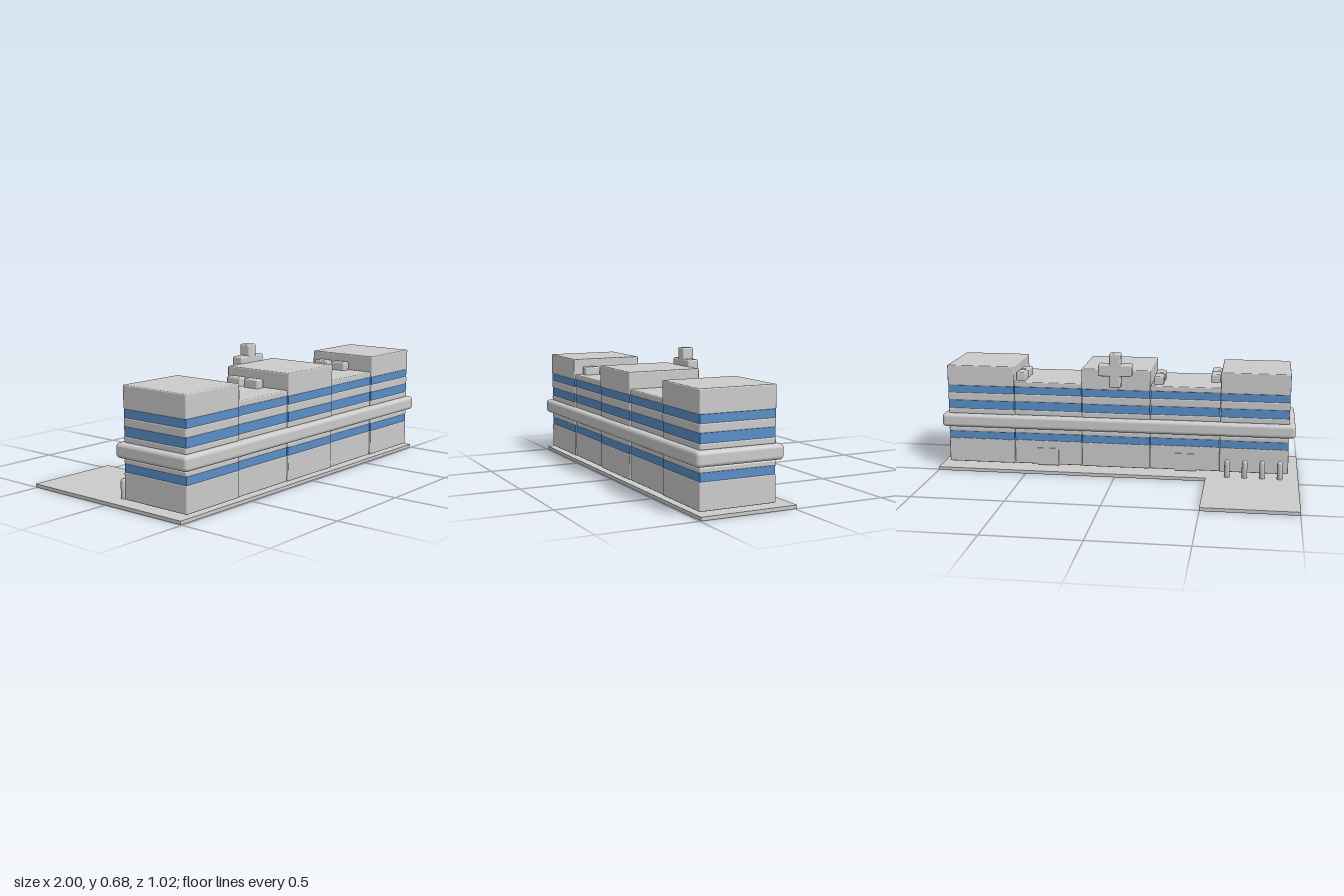
import * as THREE from 'three';
import { RoundedBoxGeometry } from 'three/addons/geometries/RoundedBoxGeometry.js';

const grey = new THREE.MeshStandardMaterial({ color: 0xcccccc });
const blue = new THREE.MeshStandardMaterial({ color: 0x5a8fc8 });

// Box given by its limits on each axis; a radius rounds its edges
function block(parent, name, [x0, x1], [y0, y1], [z0, z1], radius = 0, material = grey) {
  const size = [x1 - x0, y1 - y0, z1 - z0];
  const geometry = radius
    ? new RoundedBoxGeometry(...size, 3, radius)
    : new THREE.BoxGeometry(...size);
  const mesh = new THREE.Mesh(geometry, material);
  mesh.name = name;
  mesh.position.set((x0 + x1) / 2, (y0 + y1) / 2, (z0 + z1) / 2);
  parent.add(mesh);
  return mesh;
}

// One bay of the building: stacked wall bands and window strips
function buildingBay(name, x0, x1, top, z0, z1) {
  const bay = new THREE.Group();
  bay.name = name;
  const walls = [
    ['groundFloorWall', 0.03, 0.166, 0.005],
    ['lowerSlab', 0.205, 0.233, 0.008],
    ['middleSlab', 0.308, 0.341, 0.008],
    ['upperSlab', 0.385, 0.431, 0.008],
    ['parapet', 0.47, top, 0.006],
  ];
  for (const [part, y0, y1, r] of walls) block(bay, part, [x0, x1], [y0, y1], [z0, z1], r);
  const inset = 0.003;
  for (const [y0, y1] of [[0.16, 0.21], [0.335, 0.39], [0.425, 0.475]]) {
    block(bay, 'windowStrip', [x0 + inset, x1 - inset], [y0, y1], [z0 + inset, z1 - inset], 0, blue);
  }
  // Core closing the joint behind the belt
  block(bay, 'core', [x0 + 0.01, x1 - 0.01], [0.22, 0.32], [z0 + 0.01, z1 - 0.01]);
  return bay;
}

export function createModel() {
  const model = new THREE.Group();
  model.name = 'hospital';

  // L-shaped ground plate
  const outline = new THREE.Shape([
    [-1, -0.493], [1, -0.493], [1, 0.012], [-0.5, 0.012], [-0.5, 0.51], [-1, 0.51],
  ].map(([x, y]) => new THREE.Vector2(x, y)));
  const plateGeometry = new THREE.ExtrudeGeometry(outline, { depth: 0.018, bevelEnabled: false });
  plateGeometry.rotateX(-Math.PI / 2);
  const plate = new THREE.Mesh(plateGeometry, grey);
  plate.name = 'groundPlate';
  model.add(plate);

  // Three tall bays with two lower ones between them
  const edges = [-0.945, -0.57, -0.185, 0.197, 0.58, 0.96];
  const names = ['rightWing', 'rightLink', 'centralBlock', 'leftLink', 'leftWing'];
  names.forEach((name, i) => {
    const low = i % 2 === 1;
    model.add(buildingBay(
      name, edges[i], edges[i + 1], low ? 0.5 : 0.586, low ? 0.086 : 0.08, low ? 0.474 : 0.48,
    ));
  });

  // Projecting belt around the building
  block(model, 'belt', [-0.977, 0.992], [0.236, 0.311], [0.052, 0.51], 0.02);

  // Back doors
  for (const x of [-0.385, 0.39]) {
    block(model, 'backDoor', [x - 0.06, x + 0.06], [0.027, 0.125], [0.081, 0.11]);
  }

  // Roof units in pairs
  for (const [x, ...depths] of [[-0.535, 0.275, 0.39], [-0.225, 0.172, 0.285], [0.55, 0.172, 0.285]]) {
    for (const z of depths) {
      block(model, 'roofUnit', [x - 0.026, x + 0.026], [0.49, 0.545], [z - 0.044, z + 0.044], 0.008);
    }
  }

  // Cross on the back of the central block
  const cross = new THREE.Group();
  cross.name = 'cross';
  const crossDepth = [0.03, 0.093];
  block(cross, 'crossUpright', [-0.026, 0.036], [0.492, 0.682], crossDepth, 0.009);
  block(cross, 'crossArm', [-0.087, 0.097], [0.556, 0.622], crossDepth, 0.009);
  model.add(cross);

  // Row of round-topped bollards
  const bollardProfile = [[0, 0], [0.015, 0], [0.015, 0.085], [0.012, 0.094], [0.007, 0.099], [0, 0.1]]
    .map(([r, y]) => new THREE.Vector2(r, y));
  const bollardGeometry = new THREE.LatheGeometry(bollardProfile, 16);
  for (let i = 0; i < 4; i++) {
    const bollard = new THREE.Mesh(bollardGeometry, grey);
    bollard.name = 'bollard';
    bollard.position.set(-0.9 + i * 0.095, 0.017, 0.028);
    model.add(bollard);
  }
  return model;
}
